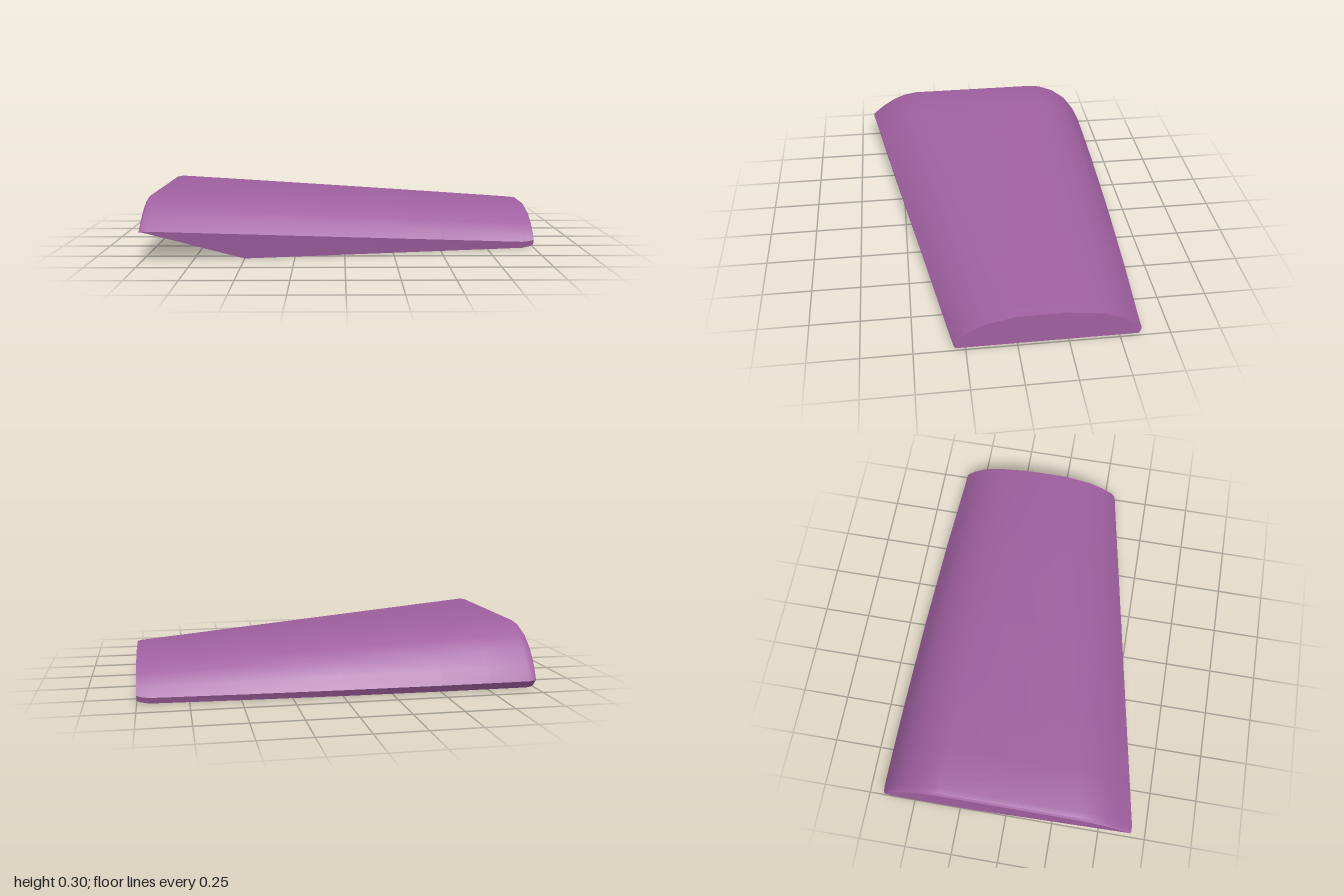
import * as THREE from 'three';
import { toCreasedNormals } from 'three/addons/utils/BufferGeometryUtils.js';

// Upper profiles [z, y] from the front edge over the top to the rear edge
const WIDE = [[0.67, 0.16], [0.6, 0.22], [0.53, 0.265], [0.47, 0.29], [0.4, 0.305],
  [-0.35, 0.305], [-0.41, 0.297], [-0.5, 0.26], [-0.58, 0.195], [-0.64, 0.11], [-0.672, 0.04], [-0.64, 0]];
const NARROW = [[0.308, 0.03], [0.29, 0.06], [0.23, 0.11], [0.15, 0.155], [0, 0.19],
  [-0.23, 0.19], [-0.32, 0.177], [-0.42, 0.16], [-0.5, 0.125], [-0.56, 0.078], [-0.605, 0.03], [-0.595, 0]];

// Stations along x: [x, centre y of the inset, y scale, z scale]
const STATIONS = [[-1, 0.1, 0.91, 0.985], [-0.99, 0.1, 0.96, 0.994], [-0.96, 0.1, 1, 1], [-0.75, 0, 1, 1],
  [-0.5, 0, 1, 1], [0, 0, 1, 1], [0.5, 0, 1, 1], [0.94, 0, 1, 1], [0.985, 0.17, 0.95, 1], [1, 0.17, 0.91, 0.992]];

const KINK = [0.555, 0]; // where the sloped underside corner meets the front edge
const mix = (a, b, t) => [a[0] + (b[0] - a[0]) * t, a[1] + (b[1] - a[1]) * t];

function section([x, cy, sy, sz]) {
  const t = (x + 1) / 2;
  const ring = WIDE.map((p, i) => {
    const [z, y] = mix(p, NARROW[i], t);
    return [i > 4 ? z - 0.016 * (1 - x * x) : z, y]; // slight bow along the rear
  });
  // Underside: the front corner at the wide end is cut off by a sloping plane
  const u = Math.min(1, (x + 1) / 0.5);
  const v = Math.max(0, (x + 0.5) / 1.5);
  const floorFront = mix(KINK, [0.3, 0], v);
  ring.push(u < 1 ? mix([-0.19, 0], KINK, u) : floorFront);
  ring.push(u < 1 ? mix(WIDE[0], KINK, u) : floorFront);
  const cz = (ring[0][0] + ring[10][0]) / 2;
  return ring.map(([z, y]) => new THREE.Vector3(x, cy + (y - cy) * sy, cz + (z - cz) * sz));
}

function loft(rings) {
  const pos = [];
  const tri = (a, b, c) => {
    if (new THREE.Triangle(a, b, c).getArea() < 1e-8) return;
    for (const p of [a, b, c]) pos.push(p.x, p.y, p.z);
  };
  const n = rings[0].length;
  const first = rings[0], last = rings[rings.length - 1];
  const centre = (r) => r.reduce((s, p) => s.add(p), new THREE.Vector3()).divideScalar(n);
  const c0 = centre(first), c1 = centre(last);
  for (let j = 0; j < n; j++) {
    const k = (j + 1) % n;
    for (let i = 0; i < rings.length - 1; i++) {
      const a = rings[i], b = rings[i + 1];
      tri(a[j], b[j], a[k]);
      tri(b[j], b[k], a[k]);
    }
    // End caps
    tri(c0, first[j], first[k]);
    tri(c1, last[k], last[j]);
  }
  const geo = new THREE.BufferGeometry();
  geo.setAttribute('position', new THREE.Float32BufferAttribute(pos, 3));
  return toCreasedNormals(geo, THREE.MathUtils.degToRad(28));
}

export function createModel() {
  const group = new THREE.Group();
  group.name = 'taperedPanel';
  const body = new THREE.Mesh(
    loft(STATIONS.map(section)),
    new THREE.MeshStandardMaterial({ color: 0xa060a0 })
  );
  body.name = 'taperedBody';
  group.add(body);
  return group;
}
